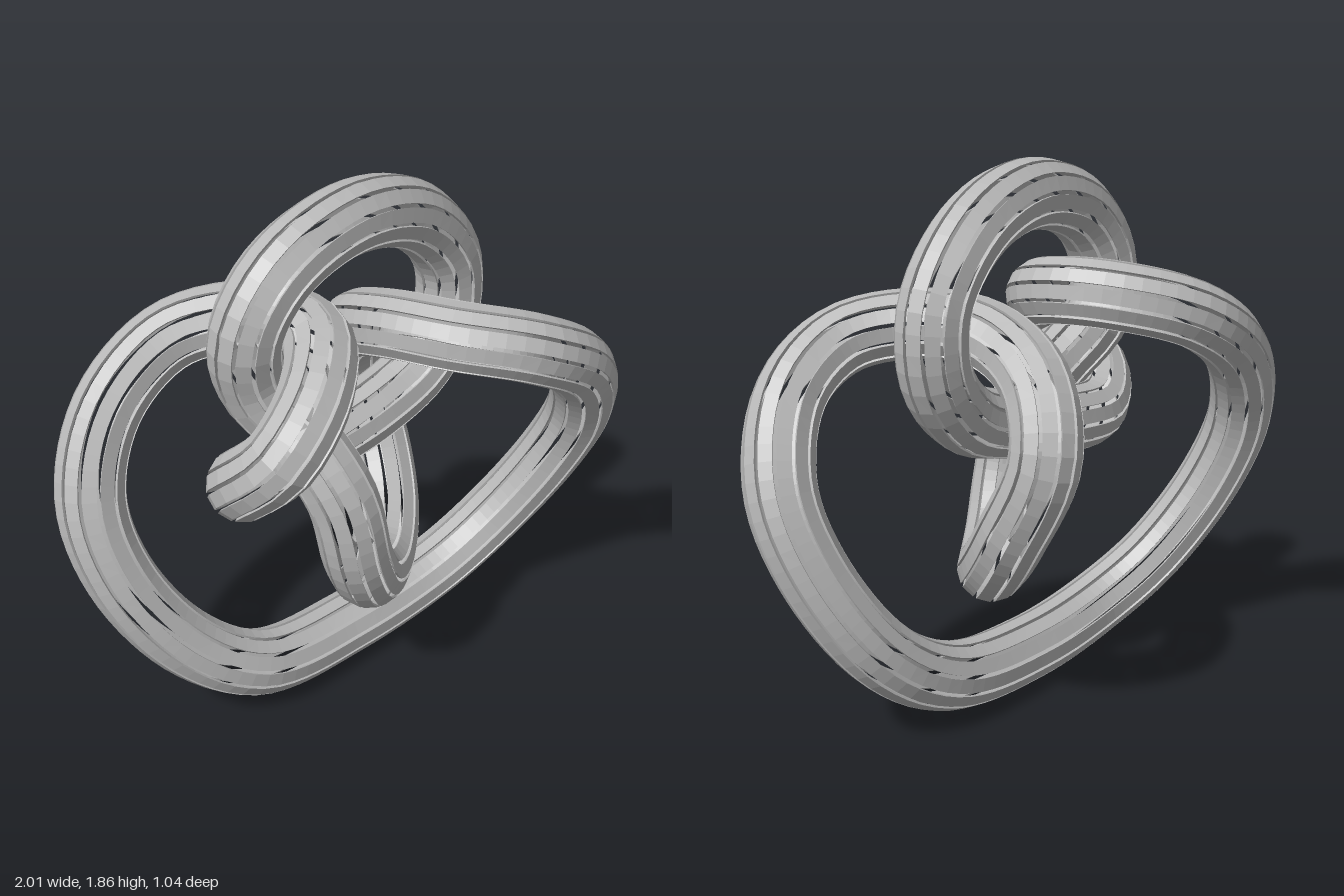
import * as THREE from 'three';

const RADIUS = 0.118;   // tube radius
const STRIPS = 12;      // lengthwise bands around the tube
const STEPS = 220;      // segments along the knot
const FILL = 0.78;      // share of each sector covered by its band
const THICK = 0.008;

// Centre line of the closed five-crossing knot
const PATH = [
  [0, 0.117, 0.02], [0.4, 0.165, -0.11], [0.64, 0.32, -0.13], [0.83, 0.62, -0.05],
  [0.883, 0.88, 0.05], [0.78, 1.14, 0.18], [0.57, 1.28, 0.24],       // right outer arm
  [0.33, 1.325, 0.14], [0.18, 1.3, -0.06], [0.14, 1.19, -0.28],      // turn to the back
  [0.18, 0.98, -0.405], [0.235, 0.7, -0.29], [0.2, 0.52, -0.1],
  [0.1, 0.45, 0.09], [-0.01, 0.51, 0.24], [-0.09, 0.68, 0.325],      // hanging U
  [-0.14, 0.92, 0.31], [-0.24, 1.12, 0.19], [-0.36, 1.29, 0.13],
  [-0.39, 1.48, 0.15], [-0.27, 1.66, 0.12], [0, 1.742, 0.01],        // upper loop
  [0.27, 1.66, -0.11], [0.44, 1.45, -0.18], [0.44, 1.23, -0.18],
  [0.32, 1.07, -0.13], [0.1, 0.99, -0.04], [-0.15, 0.945, 0.04],     // cross strand
  [-0.36, 0.94, 0.14], [-0.46, 1.04, 0.29], [-0.37, 1.18, 0.4],
  [-0.22, 1.32, 0.3], [-0.145, 1.395, 0.1], [-0.27, 1.4, -0.1],      // hook
  [-0.53, 1.325, -0.215], [-0.77, 1.15, -0.15], [-0.883, 0.88, -0.04],
  [-0.83, 0.6, 0.06], [-0.64, 0.32, 0.14], [-0.4, 0.165, 0.155],     // left outer arm
];

// One thin flat band that follows the tube between two angles
function stripGeometry(points, frames, angle) {
  const half = (Math.PI / STRIPS) * FILL;
  const corners = [
    [RADIUS, -half], [RADIUS, half],
    [RADIUS - THICK, half], [RADIUS - THICK, -half],
  ];
  const positions = [];
  const index = [];
  for (let i = 0; i <= STEPS; i++) {
    for (const [r, offset] of corners) {
      const a = angle + offset;
      const p = points[i].clone()
        .addScaledVector(frames.normals[i], r * Math.cos(a))
        .addScaledVector(frames.binormals[i], r * Math.sin(a));
      positions.push(p.x, p.y, p.z);
    }
  }
  for (let i = 0; i < STEPS; i++) {
    for (let j = 0; j < 4; j++) {
      const a = i * 4 + j;
      const b = i * 4 + (j + 1) % 4;
      index.push(a, b, a + 4, b, b + 4, a + 4);
    }
  }
  const geometry = new THREE.BufferGeometry();
  geometry.setAttribute('position', new THREE.Float32BufferAttribute(positions, 3));
  geometry.setIndex(index);
  geometry.computeVertexNormals();
  return geometry;
}

export function createModel() {
  const grey = new THREE.MeshStandardMaterial({
    color: 0xb8b8b8, flatShading: true, side: THREE.DoubleSide,
  });
  grey.name = 'grey';

  const curve = new THREE.CatmullRomCurve3(
    PATH.map((p) => new THREE.Vector3(...p)), true, 'centripetal');
  curve.arcLengthDivisions = 800;
  const points = curve.getSpacedPoints(STEPS);
  const frames = curve.computeFrenetFrames(STEPS, true);

  const model = new THREE.Group();
  model.name = 'knot';
  for (let s = 0; s < STRIPS; s++) {
    const strip = new THREE.Mesh(
      stripGeometry(points, frames, (s / STRIPS) * Math.PI * 2), grey);
    strip.name = 'knotStrip' + (s + 1);
    model.add(strip);
  }
  return model;
}
